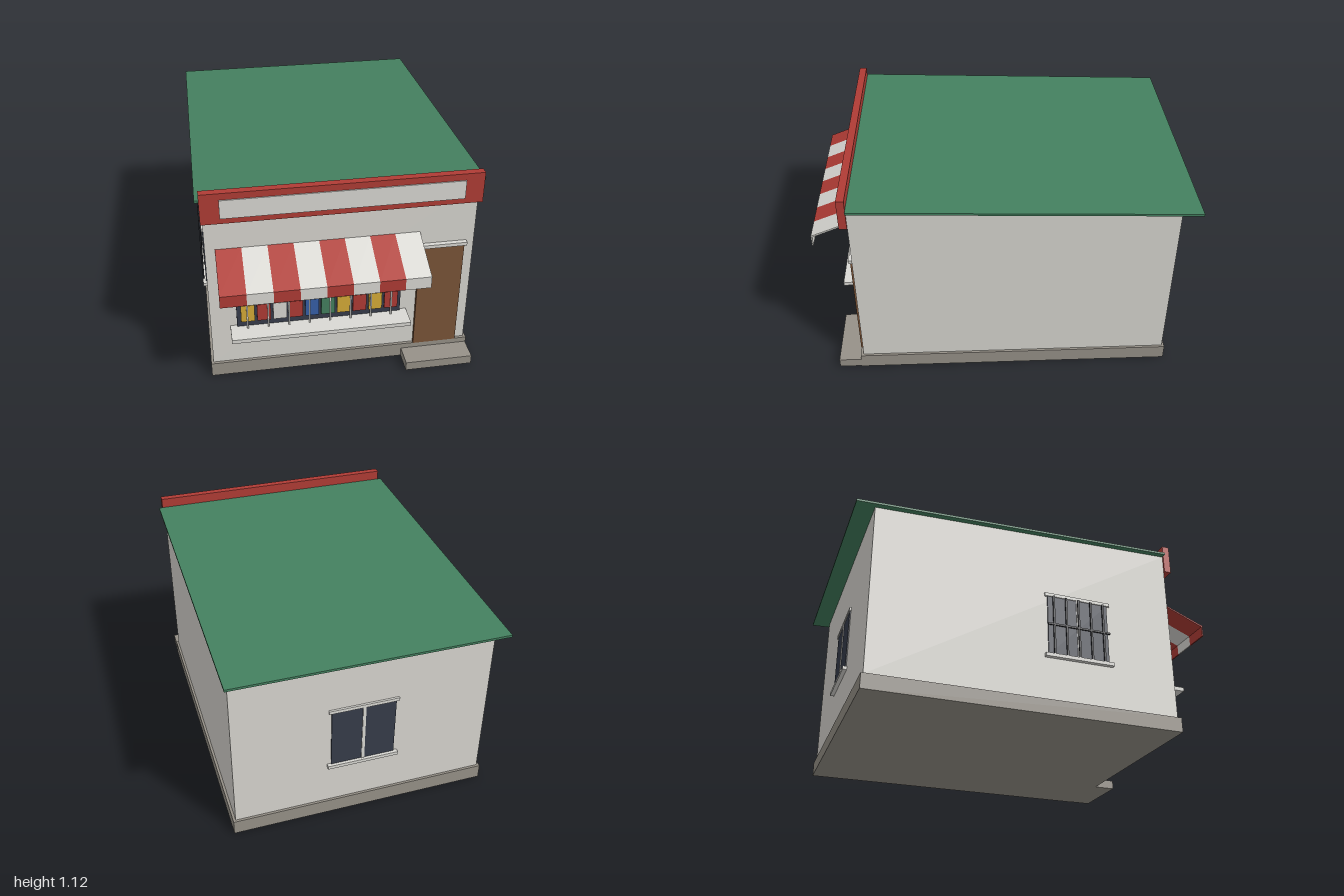
import * as THREE from 'three';

const mat = (name, color, side = THREE.FrontSide) => {
  const m = new THREE.MeshStandardMaterial({ color, side });
  m.name = name;
  return m;
};

export function createModel() {
  const wall = mat('wall plaster', 0xd8d6d0);
  const trim = mat('off-white trim', 0xdad9d4);
  const red = mat('red paint', 0xb03c35);
  const green = mat('green', 0x44805f);
  const glass = mat('dark glass', 0x363c4a);
  const yellow = mat('yellow', 0xd6ac38);
  const blue = mat('blue', 0x3760a8);
  const wood = mat('door wood', 0x7a5438);
  const stone = mat('stone', 0x969188);
  const iron = mat('dark iron', 0x24262c);

  const model = new THREE.Group();
  model.name = 'shop';

  const group = (name, parent = model) => {
    const g = new THREE.Group();
    g.name = name;
    parent.add(g);
    return g;
  };
  // Box given by its extents on each axis
  const box = (name, material, [x0, x1], [y0, y1], [z0, z1], parent = model) => {
    const mesh = new THREE.Mesh(new THREE.BoxGeometry(x1 - x0, y1 - y0, z1 - z0), material);
    mesh.position.set((x0 + x1) / 2, (y0 + y1) / 2, (z0 + z1) / 2);
    mesh.name = name;
    parent.add(mesh);
    return mesh;
  };
  // Prism along x from a side profile of [z, y] points
  const prism = (name, material, profile, x0, x1, parent = model) => {
    const shape = new THREE.Shape(profile.map(([z, y]) => new THREE.Vector2(z, y)));
    const geo = new THREE.ExtrudeGeometry(shape, { depth: x1 - x0, bevelEnabled: false });
    geo.rotateY(-Math.PI / 2).translate(x1, 0, 0);
    const mesh = new THREE.Mesh(geo, material);
    mesh.name = name;
    parent.add(mesh);
    return mesh;
  };

  // Building shell
  box('foundation', stone, [-0.693, 0.693], [0, 0.08], [-0.913, 0.765]);
  box('doorStep', stone, [0.33, 0.69], [0, 0.05], [0.765, 0.885]);
  prism('walls', wall, [[-0.9, 0.08], [0.75, 0.08], [0.75, 1.06], [-0.9, 1.001]], -0.68, 0.68);
  prism('roof', green, [[-1, 0.998], [0.75, 1.06], [0.75, 1.072], [-1, 1.01]], -0.71, 0.71);

  // Sign board with blank panel
  box('signBoard', red, [-0.69, 0.69], [0.96, 1.125], [0.75, 0.79]);
  box('signPanel', trim, [-0.597, 0.597], [0.99, 1.09], [0.789, 0.796]);

  // Striped awning with hanging valance
  const awning = group('awning');
  const stripes = 8, ax0 = -0.63, stripeW = 1.025 / stripes;
  const cloth = [[0.75, 0.782], [0.993, 0.682], [0.993, 0.625], [1, 0.625], [1, 0.69], [0.75, 0.79]];
  for (let i = 0; i < stripes; i++) {
    prism('awningStripe', i % 2 ? trim : red, cloth, ax0 + i * stripeW, ax0 + (i + 1) * stripeW, awning);
  }

  // Shop window, goods and bars
  const shopWindow = group('shopWindow');
  box('shopGlass', glass, [-0.545, 0.31], [0.312, 0.68], [0.749, 0.762], shopWindow);
  box('shopSill', trim, [-0.58, 0.345], [0.29, 0.312], [0.75, 0.87], shopWindow);
  const W = trim, R = red, B = blue, G = green, Y = yellow;
  const rows = [
    { y: 0.4, goods: [Y, R, W, R, B, G, Y, R, Y, R] },
    { y: 0.565, goods: [R, B, G, Y, R, Y, R, W, R, B] },
  ];
  for (const { y, goods } of rows) {
    goods.forEach((m, i) => {
      const x = -0.489 + i * 0.0828;
      box('goods', m, [x - 0.035, x + 0.035], [y - 0.05, y + 0.05], [0.77, 0.778], shopWindow);
    });
  }
  for (let i = 0; i < 8; i++) {
    const x = -0.492 + i * 0.1068;
    box('shopBar', trim, [x - 0.004, x + 0.004], [0.312, 0.68], [0.78, 0.788], shopWindow);
  }

  // Door
  box('door', wood, [0.395, 0.628], [0.08, 0.695], [0.749, 0.768]);
  box('doorLintel', trim, [0.385, 0.64], [0.697, 0.716], [0.75, 0.775]);

  // Two-pane window, built facing +z on the plane z = 0
  const paneWindow = (name) => {
    const g = group(name);
    box('pane', glass, [-0.17, 0.17], [0.33, 0.665], [-0.002, 0.006], g);
    box('mullion', trim, [-0.008, 0.008], [0.33, 0.665], [0, 0.01], g);
    box('lintel', trim, [-0.185, 0.185], [0.664, 0.682], [0, 0.011], g);
    box('sill', trim, [-0.19, 0.19], [0.312, 0.331], [0, 0.022], g);
    return g;
  };
  const back = paneWindow('backWindow');
  back.position.z = -0.9;
  back.rotation.y = Math.PI;

  // Barred window on the model's right wall
  const side = paneWindow('sideWindow');
  side.position.set(-0.68, 0, 0.2);
  side.rotation.y = -Math.PI / 2;
  for (let i = 0; i < 5; i++) {
    const x = -0.14 + i * 0.07;
    box('windowBar', iron, [x - 0.005, x + 0.005], [0.331, 0.664], [0.014, 0.022], side);
  }
  box('crossBar', iron, [-0.175, 0.175], [0.492, 0.502], [0.015, 0.023], side);

  return model;
}
